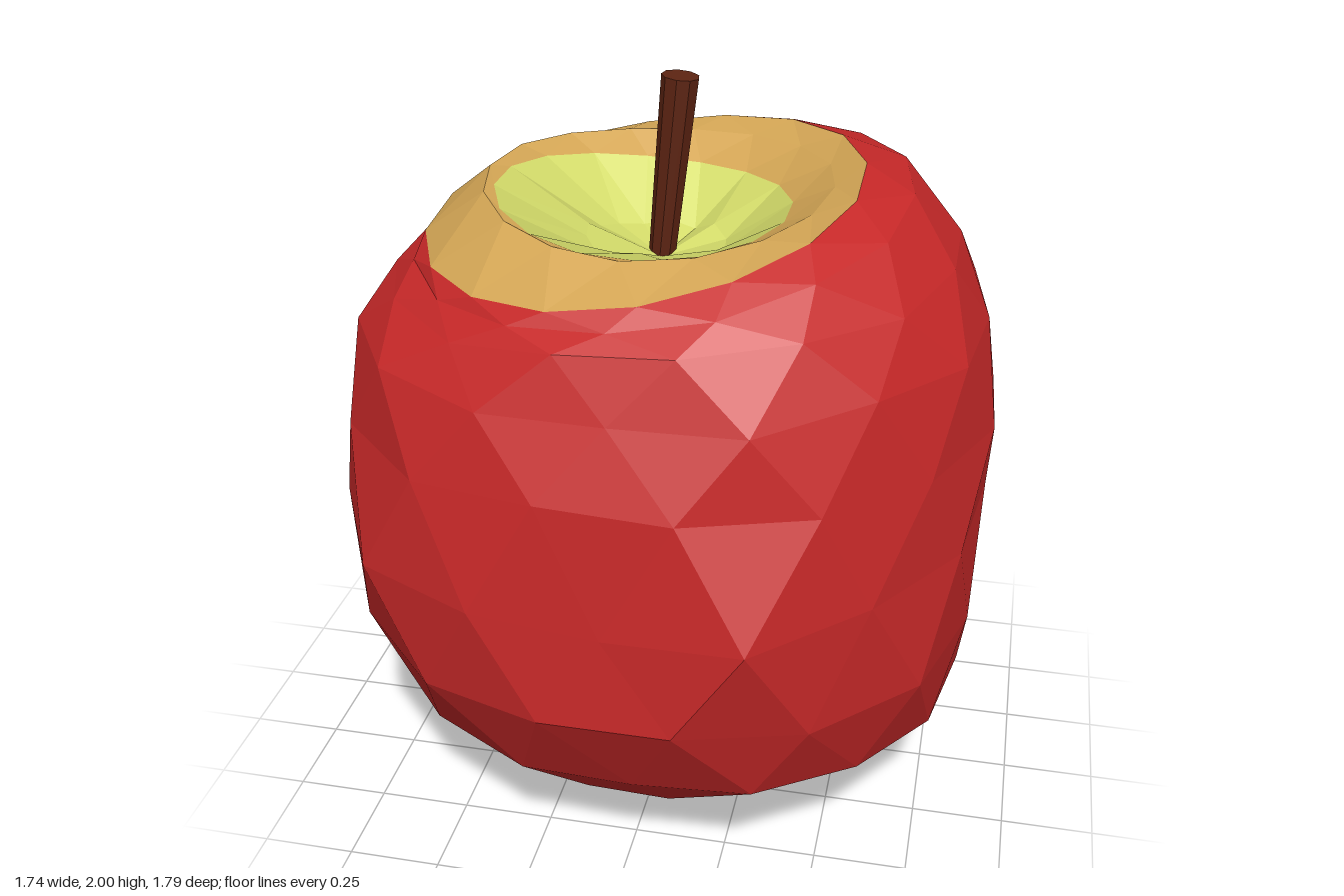
import * as THREE from 'three';

const N = 16; // points around each ring

// Uneven plan outline of the fruit, every 22.5 degrees from +x towards +z
const OUTLINE = [0.87, 0.895, 0.89, 0.92, 0.84, 0.89, 0.93, 0.895,
  0.85, 0.93, 0.965, 0.91, 0.88, 0.925, 0.885, 0.885];

function outlineAt(t) {
  const i = Math.floor(t), f = t - i;
  return THREE.MathUtils.lerp(OUTLINE[i % N], OUTLINE[(i + 1) % N], f) / 0.87;
}

function makeRandom(seed) {
  return () => {
    seed = (seed * 16807) % 2147483647;
    return seed / 2147483647 - 0.5;
  };
}

// Cross-sections from the underside hollow up, over the rim and into the top hollow.
// x: [left, right], z: [back, front], y: [left, right, back, front]
// lump: how strongly the uneven outline applies, jitter: facet irregularity
const RINGS = [
  { x: [-0.12, 0.14], z: [-0.13, 0.15], y: [0.10, 0.12, 0.10, 0.12], lump: 0, jitter: 0.03 },
  { x: [-0.28, 0.28], z: [-0.26, 0.30], y: [0.01, 0.05, 0.0, 0.065], lump: 0, jitter: 0.01 },
  { x: [-0.39, 0.39], z: [-0.37, 0.41], y: [0.07, 0.075, 0.05, 0.085], lump: 0, jitter: 0 },
  { x: [-0.57, 0.57], z: [-0.55, 0.60], y: [0.19, 0.15, 0.17, 0.21], lump: 0, jitter: 0 },
  { x: [-0.73, 0.82], z: [-0.75, 0.76], y: [0.36, 0.37, 0.40, 0.37], lump: 0.8, jitter: 0.03 },
  { x: [-0.85, 0.865], z: [-0.86, 0.88], y: [0.65, 0.62, 0.65, 0.62], lump: 1, jitter: 0.03 },
  { x: [-0.87, 0.87], z: [-0.89, 0.90], y: [0.93, 0.93, 0.92, 0.90], lump: 1, jitter: 0.03 },
  { x: [-0.855, 0.865], z: [-0.875, 0.83], y: [1.20, 1.18, 1.2, 1.2], lump: 1, jitter: 0.03 },
  { x: [-0.83, 0.83], z: [-0.83, 0.77], y: [1.38, 1.42, 1.4, 1.4], lump: 0.9, jitter: 0.03 },
  { x: [-0.74, 0.75], z: [-0.75, 0.70], y: [1.50, 1.60, 1.59, 1.54], lump: 0.6, jitter: 0.02 },
  { x: [-0.67, 0.62], z: [-0.64, 0.65], y: [1.58, 1.74, 1.71, 1.59], lump: 0.3, jitter: 0.01 },
  { x: [-0.64, 0.50], z: [-0.53, 0.61], y: [1.62, 1.785, 1.745, 1.62], lump: 0, jitter: 0 },
  { x: [-0.49, 0.42], z: [-0.44, 0.46], y: [1.75, 1.755, 1.735, 1.69], lump: 0, jitter: 0.005 },
  { x: [-0.455, 0.315], z: [-0.345, 0.425], y: [1.735, 1.69, 1.68, 1.68], lump: 0, jitter: 0 },
  { x: [-0.23, 0.14], z: [-0.18, 0.18], y: [1.59, 1.57, 1.56, 1.58], lump: 0, jitter: 0.03 },
];

function buildRings() {
  const random = makeRandom(77);
  return RINGS.map(({ x, z, y, lump, jitter }, row) => {
    const ring = [];
    const mean = (y[0] + y[1] + y[2] + y[3]) / 4;
    const twist = (y[0] + y[1] - y[2] - y[3]) / 4;
    for (let j = 0; j < N; j++) {
      // every other ring is turned half a step for triangular facets
      const t = j + (row % 2) / 2;
      const a = (t / N) * Math.PI * 2, c = Math.cos(a), s = Math.sin(a);
      const m = 1 + (outlineAt(t) - 1) * lump + random() * jitter;
      const h = mean + c * (y[1] - y[0]) / 2 + s * (y[3] - y[2]) / 2 + twist * Math.cos(2 * a);
      ring.push([
        (x[0] + x[1]) / 2 + m * c * (x[1] - x[0]) / 2,
        Math.max(0, h + random() * jitter * 1.5),
        (z[0] + z[1]) / 2 + m * s * (z[1] - z[0]) / 2,
      ]);
    }
    return ring;
  });
}

// Skin between two rings, with optional centre points closing either end
function zone(rings, from, to, bottomPoint, topPoint) {
  const pos = [];
  const tri = (...points) => points.forEach((p) => pos.push(...p));
  for (let j = 0; j < N; j++) {
    const k = (j + 1) % N;
    if (bottomPoint) tri(bottomPoint, rings[from][j], rings[from][k]);
    for (let i = from; i < to; i++) {
      const a = rings[i], b = rings[i + 1];
      if (i % 2 === 0) {
        tri(a[j], b[j], a[k]);
        tri(b[j], b[k], a[k]);
      } else {
        tri(a[j], b[j], b[k]);
        tri(a[j], b[k], a[k]);
      }
    }
    if (topPoint) tri(rings[to][j], topPoint, rings[to][k]);
  }
  const geometry = new THREE.BufferGeometry();
  geometry.setAttribute('position', new THREE.Float32BufferAttribute(pos, 3));
  geometry.computeVertexNormals();
  return geometry;
}

function material(name, color) {
  const m = new THREE.MeshStandardMaterial({ color, flatShading: true });
  m.name = name;
  return m;
}

export function createModel() {
  const model = new THREE.Group();
  model.name = 'apple';
  const red = material('red skin', 0xc62828);
  const tan = material('tan skin', 0xd4a655);
  const green = material('yellow green skin', 0xd4dc6a);
  const brown = material('brown stem', 0x5d2412);

  const add = (name, geometry, mat) => {
    const mesh = new THREE.Mesh(geometry, mat);
    mesh.name = name;
    model.add(mesh);
    return mesh;
  };

  // Fruit, in bands of colour from bottom to top
  const rings = buildRings();
  add('bottomHollow', zone(rings, 0, 2, [0.01, 0.15, 0.01]), green);
  add('bottomBand', zone(rings, 2, 3), tan);
  add('body', zone(rings, 3, 11), red);
  add('topBand', zone(rings, 11, 13), tan);
  add('topHollow', zone(rings, 13, 14, null, [-0.04, 1.51, -0.04]), green);

  // Leaning, tapered stem
  const stem = add('stem', new THREE.CylinderGeometry(0.05, 0.036, 0.52, 9), brown);
  stem.position.set(-0.021, 1.736, -0.065);
  stem.rotation.z = -0.1;

  return model;
}
